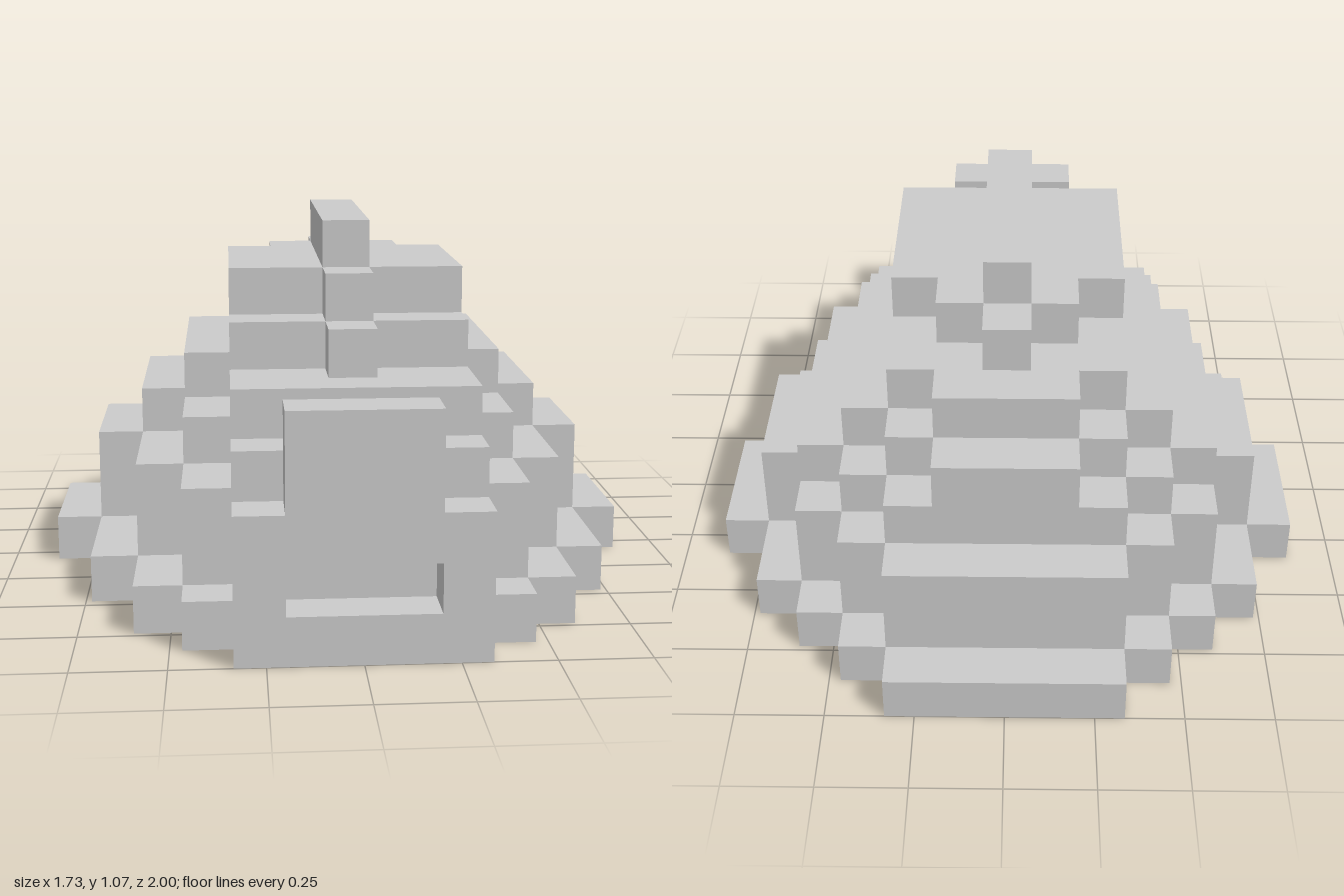
import * as THREE from 'three';

// One block of the stepped model; all sizes below are counted in blocks.
const U = 2 / 15;

const material = new THREE.MeshStandardMaterial({ color: 0xcccccc, flatShading: true });

// Symmetric stepped outline from rows [halfWidth, back z, front z], narrow to wide.
function steppedOutline(rows) {
  const side = [];
  const add = (x, z) => {
    const last = side[side.length - 1];
    if (!last || last[0] !== x || last[1] !== z) side.push([x, z]);
  };
  rows.forEach(([w, , front], i) => {
    if (i > 0) add(rows[i - 1][0], front);
    add(w, front);
  });
  [...rows].reverse().forEach(([w, back], i, list) => {
    if (i > 0) add(w, list[i - 1][1]);
    add(w, back);
  });
  const mirrored = side.map(([x, z]) => [-x, z]).reverse();
  return new THREE.Shape([...side, ...mirrored].map(([x, z]) => new THREE.Vector2(x, -z)));
}

function addMesh(group, name, geometry) {
  geometry.scale(U, U, U);
  const mesh = new THREE.Mesh(geometry, material);
  mesh.name = name;
  group.add(mesh);
}

// Body layers from the ground up: bottom, top, rows.
const layers = [
  ['footLayer', 0, 1, [[2.5, -7.5, 6.5], [3.5, -6.5, 6.5], [4.5, -5.5, 5.5], [5.5, -4.5, 3.5], [6.5, -2.5, 0.5]]],
  ['lowerBody', 1, 3, [[2.5, -6.5, 6.5], [3.5, -5.5, 5.5], [4.5, -4.5, 3.5], [5.5, -2.5, 0.5]]],
  ['middleBody', 3, 4, [[2.5, -5.5, 6.5], [3.5, -4.5, 3.5], [4.5, -3.5, 0.5]]],
  ['upperBody', 4, 5, [[1.5, -5.5, 5.5], [2.5, -4.5, 5.5], [3.5, -3.5, 1.5]]],
  ['shoulderLayer', 5, 6, [[0.5, -4.5, 4.5], [1.5, -4.5, 3.5], [2.5, -3.5, 3.5]]],
  ['backLayer', 6, 7, [[0.5, -3.5, 3.5], [1.5, -2.5, 2.5], [2.5, -1.5, 2.5]]],
  ['topRidge', 7, 8, [[0.5, -2.5, 2.5]]],
];

export function createModel() {
  const model = new THREE.Group();
  model.name = 'steppedMound';

  for (const [name, bottom, top, rows] of layers) {
    const geometry = new THREE.ExtrudeGeometry(steppedOutline(rows), { depth: top - bottom, bevelEnabled: false });
    geometry.rotateX(-Math.PI / 2).translate(0, bottom, 0);
    addMesh(model, name, geometry);
  }

  // Front plate with raised centre and a recessed slot
  const points = (list) => list.map(([x, y]) => new THREE.Vector2(x, y));
  const plate = new THREE.Shape(points([
    [-2.5, 0], [2.5, 0], [2.5, 3], [1.5, 3], [1.5, 5], [-1.5, 5], [-1.5, 3], [-2.5, 3],
  ]));
  plate.holes.push(new THREE.Path(points([[-1.5, 1], [-1.5, 2], [1.5, 2], [1.5, 1]])));
  const plateGeometry = new THREE.ExtrudeGeometry(plate, { depth: 1, bevelEnabled: false });
  plateGeometry.translate(0, 0, 6.5);
  addMesh(model, 'frontPlate', plateGeometry);

  return model;
}
